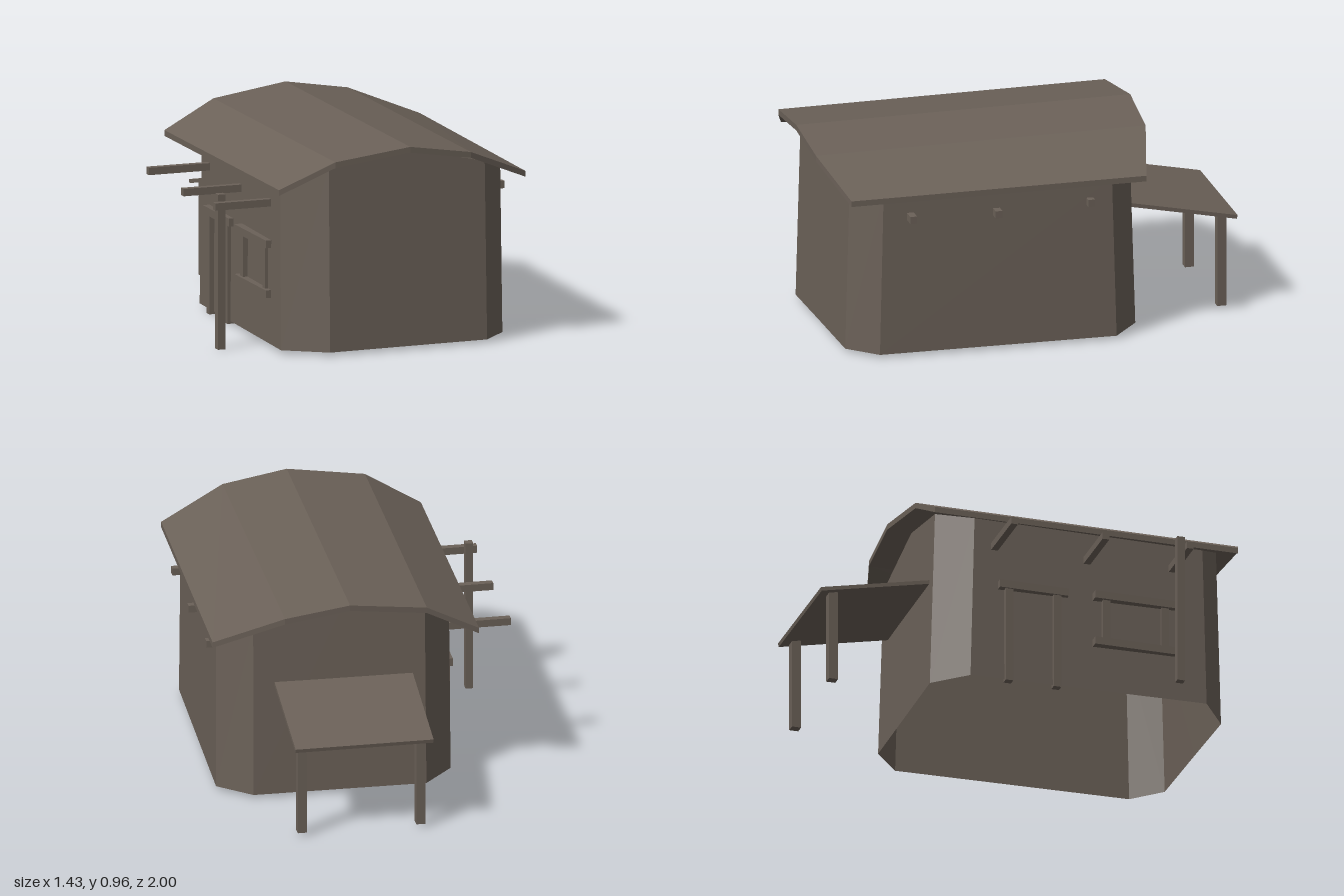
import * as THREE from 'three';

const mudBrown = new THREE.MeshStandardMaterial({ color: 0x6b6158, side: THREE.DoubleSide });
mudBrown.name = 'mudBrown';

// Joins two equal rings or strips of points into flat-shaded quads.
function quads(out, a, b, closed) {
  const n = closed ? a.length : a.length - 1;
  for (let i = 0; i < n; i++) {
    const j = (i + 1) % a.length;
    out.push(...a[i], ...a[j], ...b[j], ...a[i], ...b[j], ...b[i]);
  }
}

function flatMesh(name, positions) {
  const geometry = new THREE.BufferGeometry();
  geometry.setAttribute('position', new THREE.Float32BufferAttribute(positions, 3));
  geometry.computeVertexNormals();
  const mesh = new THREE.Mesh(geometry, mudBrown);
  mesh.name = name;
  return mesh;
}

// Box given by its lower and upper limits on each axis.
function timber(name, [x0, x1], [y0, y1], [z0, z1]) {
  const mesh = new THREE.Mesh(new THREE.BoxGeometry(x1 - x0, y1 - y0, z1 - z0), mudBrown);
  mesh.position.set((x0 + x1) / 2, (y0 + y1) / 2, (z0 + z1) / 2);
  mesh.name = name;
  return mesh;
}

// Thin, floorless wall with chamfered corners, leaning in slightly.
function makeWalls() {
  // x, z and top height of each corner, counter-clockwise from above
  const plan = [
    [-0.265, 0.9, 0.875], [0.09, 0.89, 0.937], [0.51, 0.88, 0.842], [0.635, 0.75, 0.79],
    [0.67, -0.36, 0.778], [0.52, -0.49, 0.838], [0.09, -0.495, 0.937], [-0.28, -0.5, 0.87],
    [-0.42, -0.35, 0.808], [-0.455, 0.77, 0.785],
  ];
  const base = plan.map(([x, z]) => [x, 0.015, z]);
  const top = plan.map(([x, z, y]) => [0.1 + (x - 0.1) * 0.993, y, 0.23 + (z - 0.23) * 0.965]);
  const out = [];
  quads(out, base, top, true);
  return flatMesh('walls', out);
}

// Four-facet roof slab with bowed front and back eaves.
function makeRoof() {
  // front x, back x, top height, front z, back z
  const ribs = [
    [-0.515, -0.515, 0.79, 0.9, -0.55], [-0.27, -0.27, 0.917, 0.98, -0.565],
    [0.09, 0.09, 0.965, 0.995, -0.585], [0.39, 0.39, 0.917, 0.985, -0.575],
    [0.69, 0.71, 0.79, 0.9, -0.49],
  ];
  const t = 0.027;
  const front = ribs.map(([x, , y, z]) => [x, y, z]);
  const back = ribs.map(([, x, y, , z]) => [x, y, z]);
  const lower = (p) => p.map(([x, y, z]) => [x, y - t, z]);
  const frontLow = lower(front), backLow = lower(back);
  const out = [];
  quads(out, front, back, false);
  quads(out, backLow, frontLow, false);
  quads(out, frontLow, front, false);
  quads(out, back, backLow, false);
  quads(out, [front[4], back[4]], [frontLow[4], backLow[4]].map((p) => p), false);
  quads(out, [back[0], front[0]], [backLow[0], frontLow[0]], false);
  // the two end edges face outward
  return flatMesh('roof', fixEnds(out));
}

// Turns the last two quads so that their corners run outward.
function fixEnds(p) {
  for (let i = p.length - 36; i < p.length; i += 9) {
    const [a, b, c] = [0, 3, 6].map((k) => new THREE.Vector3(...p.slice(i + k, i + k + 3)));
    const normal = b.clone().sub(a).cross(c.clone().sub(a));
    if (normal.x * a.x < 0) p.splice(i + 3, 6, ...c.toArray(), ...b.toArray());
  }
  return p;
}

// Sloping rear awning on two posts.
function makeAwning() {
  const awning = new THREE.Group();
  awning.name = 'awning';
  const z0 = -0.46, z1 = -1, y0 = 0.557, y1 = 0.444;
  const slab = new THREE.Mesh(new THREE.BoxGeometry(0.64, 0.018, Math.hypot(z1 - z0, y1 - y0)), mudBrown);
  slab.name = 'awningRoof';
  slab.position.set(0.1, (y0 + y1) / 2, (z0 + z1) / 2);
  slab.rotation.x = -Math.atan2(y0 - y1, z0 - z1);
  awning.add(slab);
  for (const x of [-0.17, 0.38]) {
    awning.add(timber('awningPost', [x - 0.021, x + 0.021], [0.015, 0.452], [-0.954, -0.911]));
  }
  return awning;
}

export function createModel() {
  const house = new THREE.Group();
  house.name = 'house';
  house.add(makeWalls(), makeRoof(), makeAwning());

  // Beams running through the house
  for (const [z, y] of [[0.607, 0.673], [0.203, 0.662], [-0.235, 0.676]]) {
    house.add(timber('roofBeam', [-0.718, 0.695], [y - 0.017, y + 0.017], [z - 0.016, z + 0.016]));
  }
  house.add(timber('beamPost', [-0.693, -0.658], [0, 0.722], [0.553, 0.59]));

  // Door frame
  const door = new THREE.Group();
  door.name = 'doorFrame';
  for (const z of [-0.172, 0.058]) {
    door.add(timber('doorPost', [-0.448, -0.412], [0.003, 0.465], [z - 0.018, z + 0.018]));
  }
  door.add(timber('doorLintel', [-0.455, -0.415], [0.463, 0.5], [-0.22, 0.11]));
  house.add(door);

  // Window frame
  const window = new THREE.Group();
  window.name = 'windowFrame';
  for (const y of [0.25, 0.482]) {
    window.add(timber('windowSill', [-0.475, -0.425], [y - 0.018, y + 0.018], [0.23, 0.63]));
  }
  for (const z of [0.29, 0.57]) {
    window.add(timber('windowPost', [-0.462, -0.43], [0.25, 0.482], [z - 0.018, z + 0.018]));
  }
  house.add(window);
  return house;
}
